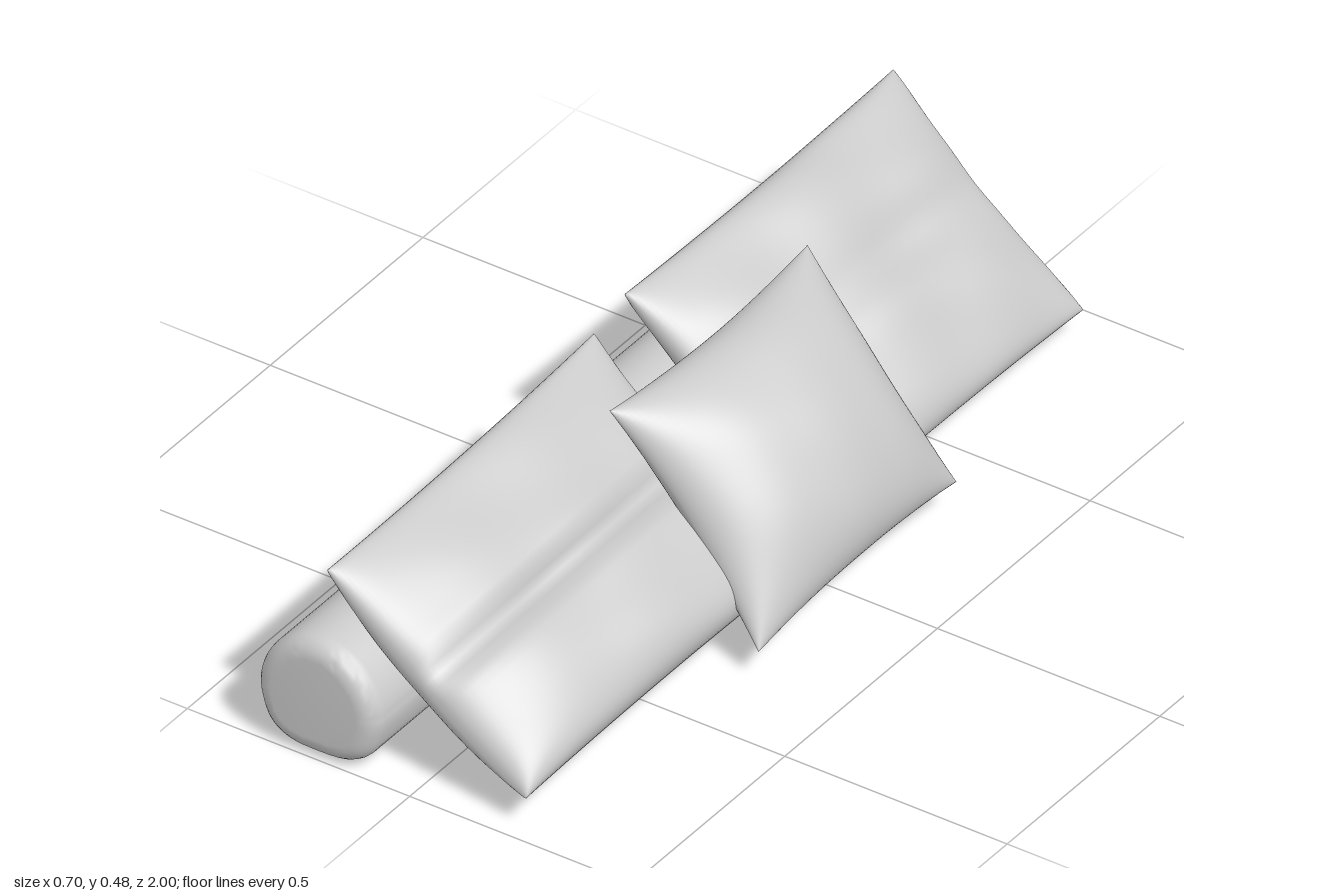
import * as THREE from 'three';
import { mergeGeometries, mergeVertices, toCreasedNormals } from 'three/addons/utils/BufferGeometryUtils.js';

const material = new THREE.MeshStandardMaterial({ color: 0xcccccc });
const lerp = THREE.MathUtils.lerp;

// A stuffed cushion: two bulging sheets sharing a rim, leaning from bottom edge to top edge.
// top / bottom: [x, y at zMin end, y at zMax end]
function cushion(name, o) {
  const N = 44;
  const sheet = (isFront) => {
    const g = new THREE.PlaneGeometry(2, 2, N, N);
    const p = g.attributes.position;
    for (let i = 0; i < p.count; i++) {
      const a = p.getX(i) * Math.PI / 2, b = p.getY(i) * Math.PI / 2;
      const u = Math.sin(a), v = Math.sin(b);
      const full = Math.pow(Math.max(0, Math.cos(a) * Math.cos(b)), o.power);
      // edges draw in between the corners
      const z = lerp(o.z[1], o.z[0], (1 + u * (1 - o.pinch * (1 - v * v))) / 2);
      const k = (1 + v * (1 - o.pinch * 0.6 * (1 - u * u))) / 2;
      const f = (z - o.z[0]) / (o.z[1] - o.z[0]);
      const topY = lerp(o.top[1], o.top[2], f), lowY = lerp(o.bottom[1], o.bottom[2], f);
      // direction across the leaning sheet
      const dx = o.bottom[0] - o.top[0], dy = topY - lowY, len = Math.hypot(dx, dy);
      // lobes, fold and shallow wrinkles
      const fold = 1 - o.fold * Math.exp(-Math.pow((v - o.foldAt) / o.foldWidth, 2));
      const ripple = o.ripple * full * Math.sin(7 * u + 3 * v + o.phase) * Math.cos(4 * v - 2 * u);
      const off = (isFront ? o.front * full * (1 - o.tilt * v) * fold : -o.back * full)
        + ripple - o.sag * (1 - v * v)
        + o.ripple * 0.5 * Math.sin(5 * u + o.phase) * v * v;
      p.setXYZ(i,
        lerp(o.bottom[0], o.top[0], k) + off * dy / len,
        lerp(lowY, topY, k) + off * dx / len, z);
    }
    if (!isFront) g.index.array.reverse();
    g.deleteAttribute('normal');
    g.deleteAttribute('uv');
    return g;
  };
  const geo = mergeVertices(mergeGeometries([sheet(true), sheet(false)]), 1e-4);
  geo.computeVertexNormals();
  const mesh = new THREE.Mesh(geo, material);
  mesh.name = name;
  return mesh;
}

// Long bolster with a flattened underside and rounded ends
function bolster() {
  const cx = -0.217, cy = 0.127, bevel = 0.04, scale = 0.7;
  const half = [[0.075, 0.006], [0.112, 0.028], [0.132, 0.075], [0.138, 0.115],
    [0.128, 0.16], [0.098, 0.207], [0.052, 0.243]];
  const outline = [[0, 0], ...half, [0, 0.255], ...half.slice().reverse().map(([x, y]) => [-x, y])];
  const curve = new THREE.CatmullRomCurve3(
    outline.map(([x, y]) => new THREE.Vector3(x * scale, (y - cy) * scale, 0)), true);
  const shape = new THREE.Shape(curve.getPoints(64).slice(0, -1).map((q) => new THREE.Vector2(q.x, q.y)));
  let geo = new THREE.ExtrudeGeometry(shape, {
    depth: 2 - 2 * bevel, bevelEnabled: true, bevelSize: bevel, bevelThickness: bevel, bevelSegments: 6,
  });
  geo.deleteAttribute('normal');
  geo.deleteAttribute('uv');
  geo = toCreasedNormals(geo, 0.7);
  geo.translate(cx, cy + 0.001, -1 + bevel);
  const mesh = new THREE.Mesh(geo, material);
  mesh.name = 'bolster';
  return mesh;
}

export function createModel() {
  const group = new THREE.Group();
  group.name = 'cushionSet';
  group.add(bolster());

  // Long pillow at the front, with a sharp crease along its middle
  group.add(cushion('frontPillow', {
    top: [-0.212, 0.435, 0.405], bottom: [0.235, 0.07, 0.065], z: [0.085, 0.965],
    front: 0.125, back: 0.095, power: 0.8, pinch: 0.03, tilt: 0.35, sag: 0.028,
    fold: 0.36, foldAt: 0, foldWidth: 0.1, ripple: 0.008, phase: 0.5,
  }));

  // Long pillow at the rear, softly dented
  group.add(cushion('rearPillow', {
    top: [-0.237, 0.435, 0.435], bottom: [0.19, 0.06, 0.07], z: [-0.925, -0.05],
    front: 0.1, back: 0.1, power: 0.8, pinch: 0.03, tilt: 0.05, sag: 0.01,
    fold: 0.25, foldAt: 0.1, foldWidth: 0.22, ripple: 0.012, phase: 2,
  }));

  // Square throw cushion leaning on both pillows, with pointed corners
  group.add(cushion('throwCushion', {
    top: [-0.015, 0.475, 0.475], bottom: [0.32, 0.072, 0.062], z: [-0.325, 0.325],
    front: 0.14, back: 0.1, power: 1, pinch: 0.1, tilt: 0, sag: 0,
    fold: 0, foldAt: 0, foldWidth: 1, ripple: 0.003, phase: 1,
  }));
  return group;
}
